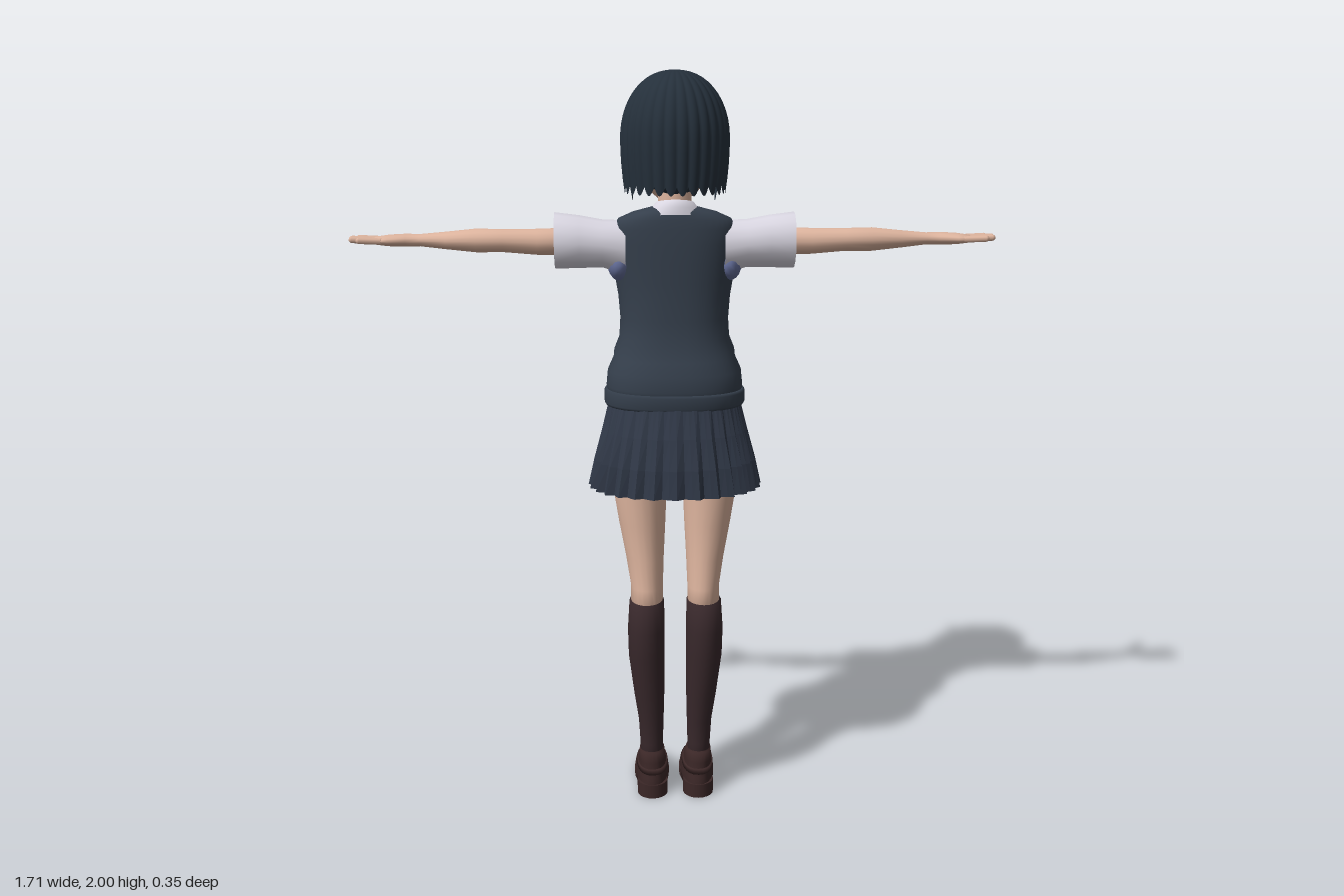
import * as THREE from 'three';

const material = (name, color, double = true) => {
  const m = new THREE.MeshStandardMaterial({ color });
  m.name = name;
  if (double) m.side = THREE.DoubleSide;
  return m;
};
const bend = (c, p) => Math.sign(c) * Math.abs(c) ** p;

// Skin stretched over cross-sections; place() turns ring, cos, sin, angle into a point
function loft(rings, seg, place, cap = true) {
  const list = cap ? [shrink(rings[0]), ...rings, shrink(rings[rings.length - 1])] : rings;
  const pos = [], idx = [];
  list.forEach((r, j) => {
    for (let i = 0; i < seg; i++) {
      const a = (i / seg) * Math.PI * 2;
      pos.push(...place(r, Math.cos(a), Math.sin(a), a));
      if (j === list.length - 1) continue;
      const k = j * seg + i, n = j * seg + (i + 1) % seg;
      idx.push(k, k + seg, n, n, k + seg, n + seg);
    }
  });
  const g = new THREE.BufferGeometry();
  g.setAttribute('position', new THREE.Float32BufferAttribute(pos, 3));
  g.setIndex(idx);
  g.computeVertexNormals();
  return g;
}
const shrink = ([t, a, b]) => [t, a, b, 0, 0];
// Upright rings: y, centre x, centre z, half width, half depth
const upright = (p = 1) => ([y, cx, cz, rx, rz], c, s) => [cx + rx * bend(c, p), y, cz + rz * bend(s, p)];
// Sideways rings: x, centre y, centre z, half height, half depth
const sideways = ([x, cy, cz, ry, rz], c, s) => [x, cy + ry * c, cz - rz * s];
// Body rings: y, half width, back z, front z
const body = (rows) => rows.map(([y, rx, b, f]) => [y, 0, (b + f) / 2, rx, (b - f) / 2]);

function mirrored(geo) {
  const g = geo.clone().scale(-1, 1, 1), ix = g.index.array;
  for (let i = 0; i < ix.length; i += 3) [ix[i], ix[i + 1]] = [ix[i + 1], ix[i]];
  return g;
}

// Thin sheet laid on the front of a lofted form
function patch(rings, power, x, y, w, h, lift, taper = false) {
  const g = new THREE.PlaneGeometry(w, h, 8, 8).rotateY(Math.PI);
  const p = g.attributes.position;
  for (let i = 0; i < p.count; i++) {
    const px = p.getX(i) * (taper ? p.getY(i) / h + 0.5 : 1) + x, py = p.getY(i) + y;
    const k = Math.max(1, rings.findIndex((r) => r[0] >= py));
    const [a, b] = [rings[k - 1], rings[k]], t = (py - a[0]) / (b[0] - a[0]);
    const [cz, rx, rz] = [2, 3, 4].map((n) => a[n] + (b[n] - a[n]) * t);
    const depth = Math.max(0, 1 - Math.abs(px / rx) ** power) ** (1 / power);
    p.setXYZ(i, px, py, cz - rz * depth - lift);
  }
  g.computeVertexNormals();
  return g;
}

function rod(a, b, r) {
  const A = new THREE.Vector3(...a), B = new THREE.Vector3(...b), d = B.clone().sub(A);
  const g = new THREE.CapsuleGeometry(r, d.length() - r, 3, 8);
  g.applyQuaternion(new THREE.Quaternion().setFromUnitVectors(new THREE.Vector3(0, 1, 0), d.normalize()));
  return g.translate(...A.add(B).multiplyScalar(0.5).toArray());
}

// Bob haircut: dome whose lower edge changes around the head, angle 0 at the face
function hairCap() {
  const N = 224, rows = 16;
  const edge = (deg, s) => {
    if (deg < 48) return 1.815;
    if (deg < 70) return 1.66 + 0.006 * Math.abs(deg - 60);
    if (deg < 92) return s > 0 ? 1.71 : 1.76;
    return 1.69;
  };
  const rings = Array.from({ length: rows + 1 }, (_, j) => [j / rows]);
  const g = loft(rings.reverse(), N, ([v], c, s, a) => {
    // c runs along x and s along z
    const deg = Math.abs(Math.atan2(c, -s)) * 180 / Math.PI;
    const groove = 1 - Math.abs(Math.sin(a * 14));
    const y = 2 - (2 - edge(deg, c) - 0.022 * groove) * v * v;
    const dome = y > 1.83 ? Math.sqrt(Math.max(0, 1 - ((y - 1.83) / 0.17) ** 2)) ** 0.9 : 1 - 0.09 * ((1.83 - y) / 0.15) ** 2;
    const r = dome * (1 - 0.035 * groove);
    return [0.142 * r * c, y, 0.005 + 0.152 * r * s];
  }, false);
  return g;
}

export function createModel() {
  const model = new THREE.Group();
  const skin = material('skin', 0xddb49e), hair = material('hair', 0x25303b);
  const knit = material('vest knit', 0x353f4c), pleat = material('skirt cloth', 0x303847);
  const shirt = material('shirt white', 0xd9d6e1), shade = material('shirt lining', 0x66709c);
  const sockMat = material('sock', 0x38282b), leather = material('shoe leather', 0x3b2727);
  const ribbon = material('ribbon', 0xd6521f), lip = material('lip', 0xb4655a);

  const add = (name, geo, mat, parent = model) => {
    const m = new THREE.Mesh(geo, mat);
    m.name = name;
    parent.add(m);
    return m;
  };
  const pair = (name, geo, mat) => {
    add(name + 'Left', geo, mat);
    add(name + 'Right', mirrored(geo), mat);
  };

  // Legs, socks and shoes
  pair('leg', loft([[0.55, 0.079, 0.033, 0.044, 0.056], [0.62, 0.078, 0.026, 0.044, 0.058],
    [0.7, 0.083, 0.008, 0.052, 0.067], [0.8, 0.09, -0.003, 0.064, 0.076],
    [0.92, 0.097, -0.008, 0.076, 0.084], [1.1, 0.098, -0.015, 0.083, 0.092]], 20, upright()), skin);
  pair('sock', loft([[0.09, 0.067, 0.03, 0.031, 0.034], [0.15, 0.067, 0.028, 0.032, 0.034],
    [0.22, 0.068, 0.031, 0.035, 0.039], [0.3, 0.073, 0.035, 0.042, 0.047], [0.42, 0.08, 0.041, 0.05, 0.059],
    [0.5, 0.081, 0.042, 0.051, 0.063], [0.58, 0.079, 0.034, 0.048, 0.062]], 20, upright()), sockMat);
  pair('shoe', loft([[0.015, 0.065, -0.04, 0.046, 0.128], [0.04, 0.065, -0.04, 0.048, 0.128],
    [0.058, 0.065, -0.03, 0.045, 0.113], [0.075, 0.065, -0.008, 0.041, 0.088],
    [0.1, 0.066, 0.015, 0.038, 0.062], [0.13, 0.066, 0.028, 0.035, 0.046]], 24, upright(0.85)), leather);
  pair('shoeStrap', loft([[0.068, 0.065, -0.018, 0.045, 0.102], [0.084, 0.065, 0, 0.043, 0.084]], 24, upright(0.85)), leather);
  pair('sole', new THREE.CylinderGeometry(1, 1, 0.02, 24).scale(0.05, 1, 0.1).translate(0.065, 0.01, -0.073), leather);
  pair('heel', new THREE.CylinderGeometry(1, 1, 0.04, 20).scale(0.043, 1, 0.046).translate(0.065, 0.02, 0.045), leather);

  // Pleated skirt with sharp folds, flaring to the hem
  const folds = 28;
  const skirt = loft([[0.905, 0, 0, 0.236, 0.176, 0.075], [0.98, 0, 0.002, 0.219, 0.163, 0.06],
    [1.06, 0, -0.008, 0.197, 0.151, 0.04], [1.16, 0, -0.026, 0.172, 0.132, 0.01]], folds * 3,
  ([y, cx, cz, rx, rz, d], c, s, a) => {
    const step = Math.round(a / (Math.PI * 2) * folds * 3) % 3;
    const r = 1 - d * [0, 0.45, 1][step];
    return [cx + rx * r * bend(c, 0.9), y, cz + rz * r * bend(s, 0.9)];
  }, false).toNonIndexed();
  skirt.computeVertexNormals();
  add('pleatedSkirt', skirt, pleat);

  // Knitted vest with a ribbed hem
  const vest = body([[1.14, 0.18, 0.11, -0.162], [1.18, 0.184, 0.115, -0.168], [1.22, 0.18, 0.11, -0.17],
    [1.255, 0.164, 0.096, -0.163], [1.275, 0.162, 0.09, -0.164], [1.31, 0.148, 0.08, -0.155],
    [1.36, 0.145, 0.075, -0.157], [1.42, 0.15, 0.073, -0.17], [1.46, 0.157, 0.072, -0.175],
    [1.51, 0.162, 0.072, -0.16], [1.56, 0.164, 0.071, -0.127], [1.6, 0.163, 0.069, -0.098],
    [1.625, 0.148, 0.066, -0.08], [1.642, 0.11, 0.062, -0.066], [1.655, 0.06, 0.055, -0.052]]);
  add('vest', loft(vest, 40, upright(0.85)), knit);
  add('vestHem', loft(body([[1.128, 0.186, 0.112, -0.166], [1.135, 0.19, 0.117, -0.17],
    [1.165, 0.19, 0.119, -0.171], [1.172, 0.184, 0.114, -0.166]]), 40, upright(0.85)), knit);

  // Shirt front, collar and neck
  add('shirtFront', patch(vest, 2 / 0.85, 0, 1.585, 0.13, 0.11, 0.006, true), shirt);
  add('neck', new THREE.CylinderGeometry(0.042, 0.046, 0.14, 20).translate(0, 1.66, -0.008), skin);
  const collar = loft(body([[1.625, 0.085, 0.07, -0.085], [1.645, 0.066, 0.067, -0.07], [1.665, 0.05, 0.058, -0.055],
    [1.66, 0.046, 0.05, -0.05]]), 28, ([y, cx, cz, rx, rz], c, s) => {
    const z = cz + rz * s;
    return [rx * c, y + z * 0.2, z];
  }, false);
  add('collar', collar, shirt);

  // Short sleeves, underarms and bare arms
  pair('sleeve', loft([[0.13, 1.547, -0.012, 0.072, 0.064], [0.19, 1.558, -0.015, 0.063, 0.067],
    [0.25, 1.563, -0.016, 0.069, 0.069], [0.315, 1.566, -0.016, 0.074, 0.07],
    [0.313, 1.566, -0.016, 0.068, 0.064], [0.27, 1.565, -0.01, 0.036, 0.038]], 16, sideways, false), shirt);
  pair('underarm', new THREE.SphereGeometry(1, 16, 10).scale(0.033, 0.045, 0.06).translate(0.145, 1.505, -0.014), shade);
  pair('arm', loft([[0.24, 1.565, -0.005, 0.037, 0.038], [0.36, 1.564, -0.005, 0.034, 0.036],
    [0.45, 1.568, 0, 0.03, 0.033], [0.52, 1.568, -0.006, 0.031, 0.037], [0.6, 1.567, -0.019, 0.023, 0.03],
    [0.67, 1.567, -0.03, 0.016, 0.023], [0.705, 1.567, -0.032, 0.017, 0.032], [0.75, 1.567, -0.028, 0.015, 0.04],
    [0.785, 1.567, -0.025, 0.01, 0.038]], 16, sideways), skin);
  [[-0.054, 0.838, -0.062], [-0.035, 0.853, -0.04], [-0.015, 0.849, -0.013], [0.004, 0.826, 0.014]]
    .forEach(([z, x, tip], i) => pair('finger' + (i + 1), rod([0.765, 1.567, z], [x, 1.57, tip], 0.0085), skin));
  pair('thumb', rod([0.69, 1.563, -0.045], [0.732, 1.562, -0.092], 0.014), skin);
  pair('thumbTip', rod([0.725, 1.562, -0.088], [0.757, 1.562, -0.127], 0.0095), skin);

  // Ribbon bow
  const bow = new THREE.Group();
  bow.name = 'bow';
  bow.position.set(0, 1.597, -0.113);
  bow.rotation.x = 0.5;
  model.add(bow);
  for (const s of [-1, 1]) {
    add('bowLoop', new THREE.ConeGeometry(0.036, 0.066, 8).rotateZ(s * Math.PI / 2).scale(1, 1, 0.4)
      .translate(s * 0.035, 0.004, 0), ribbon, bow);
    add('bowTail', new THREE.BoxGeometry(0.026, 0.06, 0.008).rotateZ(s * 0.45).translate(s * 0.02, -0.035, 0.002), ribbon, bow);
  }
  add('bowKnot', new THREE.SphereGeometry(0.014, 12, 8), ribbon, bow);

  // Head and face
  const head = body([[1.655, 0.016, -0.08, -0.108], [1.667, 0.037, -0.05, -0.116], [1.69, 0.063, 0, -0.122],
    [1.73, 0.09, 0.05, -0.127], [1.78, 0.105, 0.08, -0.129], [1.84, 0.112, 0.1, -0.132],
    [1.92, 0.097, 0.085, -0.112], [1.965, 0.055, 0.05, -0.06]]);
  add('head', loft(head, 32, upright()), skin);
  add('nose', new THREE.ConeGeometry(0.011, 0.04, 8).rotateX(-0.35).translate(0, 1.755, -0.132), skin);
  add('mouth', patch(head, 2, 0, 1.705, 0.032, 0.006, 0.003), lip);
  pair('ear', new THREE.SphereGeometry(1, 12, 10).scale(0.012, 0.032, 0.02).translate(0.112, 1.765, -0.015), skin);
  pair('eyeWhite', patch(head, 2, 0.05, 1.785, 0.044, 0.034, 0.003), shirt);
  pair('iris', patch(head, 2, 0.048, 1.786, 0.026, 0.034, 0.005), hair);
  pair('eyelash', patch(head, 2, 0.051, 1.804, 0.052, 0.008, 0.006), hair);

  // Hair: outer bob, inner mass at the nape and a clip
  add('hair', hairCap(), hair);
  add('innerHair', new THREE.SphereGeometry(1, 24, 16).scale(0.122, 0.11, 0.1).translate(0, 1.8, 0.042), hair);
  for (const [dx, tilt] of [[0, 0.35], [0.004, -0.3]]) {
    const clip = add('hairClip', new THREE.BoxGeometry(0.055, 0.011, 0.008), ribbon);
    clip.position.set(-0.083 + dx, 1.872, -0.117);
    clip.rotation.set(0, -0.62, tilt);
  }
  return model;
}
